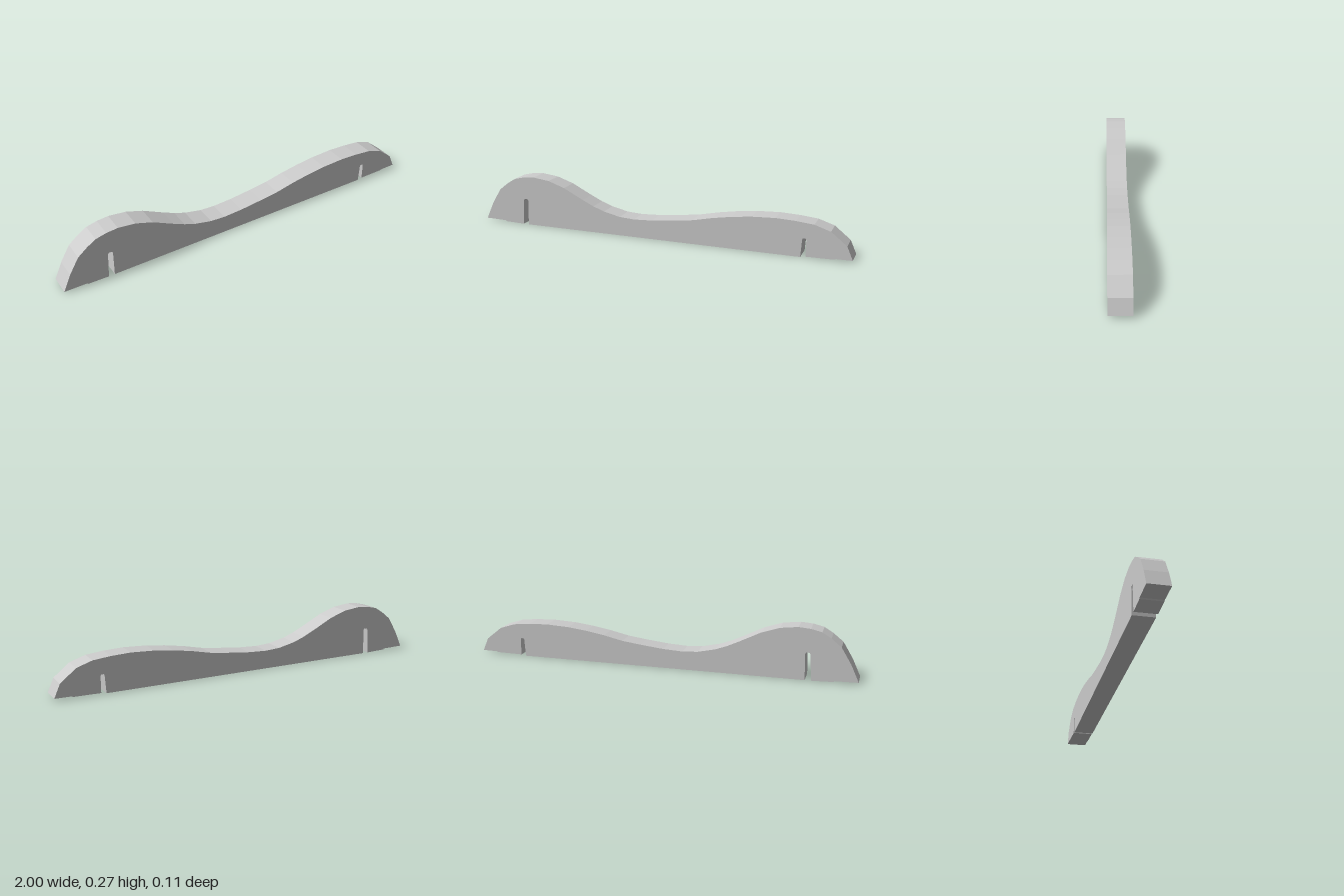
import * as THREE from 'three';

const DEPTH = 0.108;

// Wavy upper edge, from the model's right end (-x) to its left end (+x)
const topEdge = [
  [-1, 0.01], [-0.96, 0.097], [-0.91, 0.18], [-0.86, 0.22], [-0.815, 0.248], [-0.76, 0.261],
  [-0.7, 0.266], [-0.61, 0.255], [-0.52, 0.225], [-0.41, 0.17], [-0.35, 0.142],
  [-0.29, 0.12], [-0.2, 0.1], [-0.12, 0.095], [-0.02, 0.1], [0.1, 0.113], [0.2, 0.126],
  [0.3, 0.148], [0.4, 0.165], [0.5, 0.177], [0.62, 0.183], [0.72, 0.179],
  [0.81, 0.17], [0.89, 0.144], [0.97, 0.08], [1, 0.012],
];

// Lower edge, back again, with two upright slots
const bottomEdge = [
  [0.92, 0.011], [0.91, 0.007], [0.775, 0.005],
  [0.775, 0.09], [0.771, 0.096], [0.757, 0.096], [0.755, 0.09], [0.749, 0],
  [-0.741, 0], [-0.738, 0.134], [-0.742, 0.141], [-0.76, 0.141], [-0.764, 0.132], [-0.772, 0],
  [-0.88, 0.003], [-0.885, 0.008],
];

export function createModel() {
  const group = new THREE.Group();
  group.name = 'wavyRail';

  const shape = new THREE.Shape([...topEdge, ...bottomEdge].map(([x, y]) => new THREE.Vector2(x, y)));
  const geometry = new THREE.ExtrudeGeometry(shape, { depth: DEPTH, bevelEnabled: false });
  geometry.translate(0, 0, -DEPTH / 2);

  // Slotted board, facetted along its upper edge
  const board = new THREE.Mesh(
    geometry,
    new THREE.MeshStandardMaterial({ color: 0xcccccc, flatShading: true }),
  );
  board.name = 'slottedBoard';
  group.add(board);
  return group;
}
